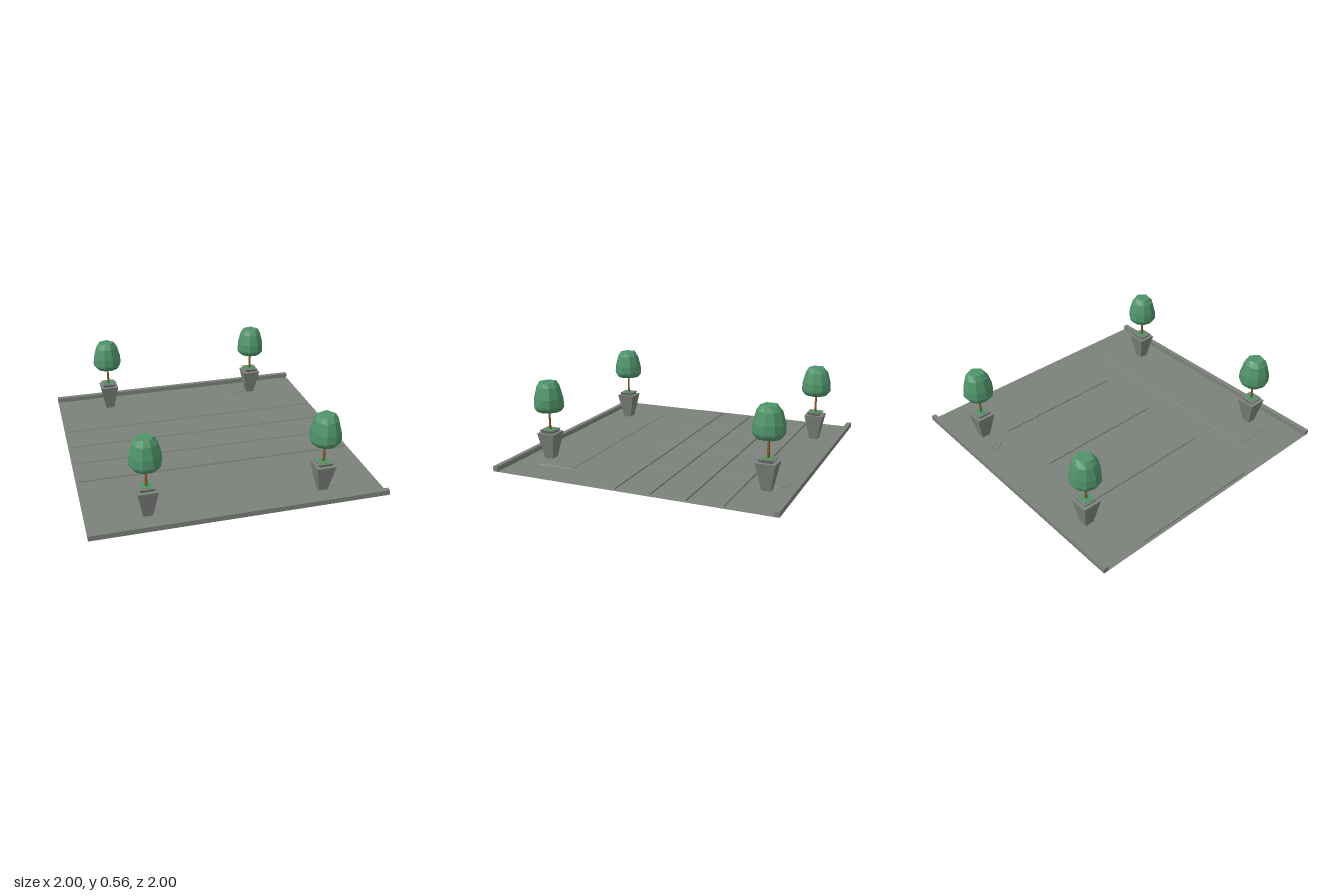
import * as THREE from 'three';

function material(name, color, doubleSided = false) {
  const m = new THREE.MeshStandardMaterial({ color });
  m.name = name;
  if (doubleSided) m.side = THREE.DoubleSide;
  return m;
}

// Facet a geometry with hard normals
function faceted(geometry) {
  const g = geometry.index ? geometry.toNonIndexed() : geometry;
  g.computeVertexNormals();
  return g;
}

// Box standing on y = 0 whose top has its own width and depth
function taperedBox(w, d, topW, topD, h) {
  const g = new THREE.BoxGeometry(w, h, d);
  g.translate(0, h / 2, 0);
  const p = g.attributes.position;
  for (let i = 0; i < p.count; i++) {
    if (p.getY(i) > h / 2) p.setXYZ(i, p.getX(i) * topW / w, h, p.getZ(i) * topD / d);
  }
  return faceted(g);
}

// Ten-sided crown closing to a pentagonal flat top
function crownGeometry() {
  const profile = [[0, 0.345], [0.085, 0.345], [0.104, 0.37], [0.108, 0.385], [0.104, 0.44],
    [0.082, 0.52], [0.06, 0.555], [0, 0.555]];
  const g = new THREE.LatheGeometry(profile.map(([r, y]) => new THREE.Vector2(r, y)), 10);
  g.rotateY(Math.PI / 2);
  const p = g.attributes.position;
  for (let i = 0; i < p.count; i++) {
    const side = Math.round(i / profile.length - 0.499);
    if (p.getY(i) > 0.55 && side % 2 === 1) {
      const k = Math.cos(Math.PI / 5);
      p.setXYZ(i, p.getX(i) * k, p.getY(i), p.getZ(i) * k);
    }
  }
  return faceted(g);
}

export function createModel() {
  const model = new THREE.Group();
  model.name = 'pavedPlaza';
  const stone = material('stone grey', 0x7b817a, true);
  const leaf = material('leaf green', 0x4f9369);
  const bark = material('bark brown', 0x8a5a2a);

  function add(parent, name, geometry, mat, x = 0, y = 0, z = 0) {
    const mesh = new THREE.Mesh(geometry, mat);
    mesh.name = name;
    mesh.position.set(x, y, z);
    parent.add(mesh);
    return mesh;
  }

  // Ground sheet
  add(model, 'ground', new THREE.PlaneGeometry(2, 2).rotateX(-Math.PI / 2), stone);

  // Front and back kerbs
  for (const s of [-1, 1]) {
    add(model, s > 0 ? 'frontKerb' : 'backKerb', new THREE.BoxGeometry(2, 0.035, 0.034), stone, 0, 0.0175, s * 0.983);
  }

  // Four by four raised paving slabs
  const slab = taperedBox(0.485, 0.239, 0.479, 0.233, 0.009);
  const paving = new THREE.Group();
  paving.name = 'paving';
  for (let col = 0; col < 4; col++) {
    for (let row = 0; row < 4; row++) {
      add(paving, 'pavingSlab', slab, stone, (col - 1.5) * 0.491, 0, -0.165 + (row - 1.5) * 0.245);
    }
  }
  model.add(paving);

  // Long low plate near the front
  add(model, 'frontPlate', taperedBox(1.515, 0.272, 1.509, 0.266, 0.004), stone, 0, 0, 0.665);

  // Octagonal access cover and small cap
  const octagon = (r, h) => faceted(new THREE.CylinderGeometry(r - 0.002, r, h, 8)
    .rotateY(Math.PI / 8).translate(0, h / 2, 0));
  add(model, 'coverRim', octagon(0.084, 0.004), stone, 0.467, 0, -0.835);
  add(model, 'coverLid', octagon(0.054, 0.006), stone, 0.467, 0, -0.835);
  add(model, 'groundCap', octagon(0.015, 0.004), stone, 0.955, 0, 0.652);

  // Potted trees at the four corners
  const pot = taperedBox(0.062, 0.062, 0.134, 0.134, 0.188);
  const rim = taperedBox(0.084, 0.084, 0.106, 0.106, 0.022);
  const planting = new THREE.BoxGeometry(0.074, 0.003, 0.074);
  const trunk = faceted(new THREE.CylinderGeometry(0.006, 0.01, 0.15, 6));
  const crown = crownGeometry();
  for (const x of [-0.597, 0.597]) {
    for (const z of [-0.8, 0.8]) {
      const tree = new THREE.Group();
      tree.name = 'pottedTree';
      tree.position.set(x, 0, z);
      add(tree, 'pot', pot, stone);
      add(tree, 'potRim', rim, stone, 0, 0.188, 0);
      add(tree, 'planting', planting, leaf, 0, 0.2105, 0);
      add(tree, 'trunk', trunk, bark, 0, 0.28, 0);
      add(tree, 'crown', crown, leaf);
      model.add(tree);
    }
  }
  return model;
}
